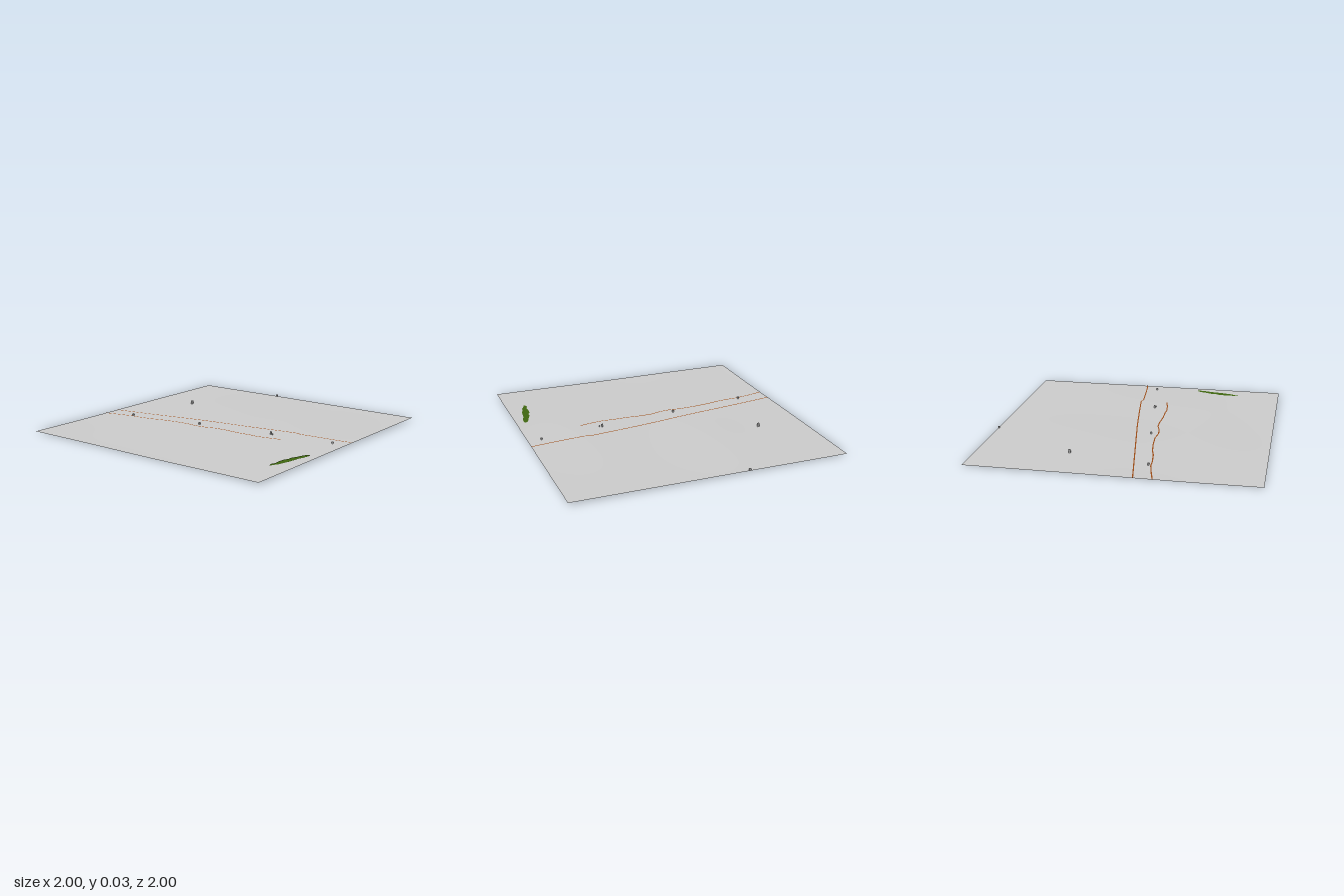
import * as THREE from 'three';

const material = (color) => new THREE.MeshStandardMaterial({ color, side: THREE.DoubleSide });

// Gentle terrain height at any ground position
const hill = (x, z, cx, cz, rx, rz) => Math.exp(-(((x - cx) / rx) ** 2) - ((z - cz) / rz) ** 2);
function groundHeight(x, z) {
  return 0.009 + 0.004 * x - 0.001 * z
    + 0.009 * hill(x, z, -0.25, -0.35, 0.3, 0.4)
    + 0.004 * hill(x, z, 0.55, -0.1, 0.35, 0.5)
    - 0.004 * hill(x, z, 0.1, 0.9, 0.5, 0.3)
    - 0.004 * hill(x, z, -0.9, 0.5, 0.4, 0.5);
}

// Lay a flat geometry on the terrain
function drape(geometry, lift) {
  const p = geometry.attributes.position;
  for (let i = 0; i < p.count; i++) p.setY(i, groundHeight(p.getX(i), p.getZ(i)) + lift);
  geometry.computeVertexNormals();
  return geometry;
}

// Narrow strip following a polyline of [x, z] points
function ribbon(points, width) {
  const positions = [], index = [];
  const samples = [];
  for (let i = 0; i < points.length - 1; i++) {
    const a = new THREE.Vector2(...points[i]), b = new THREE.Vector2(...points[i + 1]);
    const n = Math.max(1, Math.ceil(a.distanceTo(b) / 0.05));
    for (let k = 0; k < n; k++) samples.push(a.clone().lerp(b, k / n));
  }
  samples.push(new THREE.Vector2(...points[points.length - 1]));
  samples.forEach((s, i) => {
    const dir = samples[Math.min(i + 1, samples.length - 1)].clone()
      .sub(samples[Math.max(i - 1, 0)]).normalize().multiplyScalar(width / 2);
    positions.push(s.x + dir.y, 0, s.y - dir.x, s.x - dir.y, 0, s.y + dir.x);
    if (i) {
      const k = 2 * i;
      index.push(k - 2, k - 1, k, k - 1, k + 1, k);
    }
  });
  const g = new THREE.BufferGeometry();
  g.setAttribute('position', new THREE.Float32BufferAttribute(positions, 3));
  g.setIndex(index);
  return drape(g, 0.0015);
}

export function createModel() {
  const model = new THREE.Group();
  const grey = material(0xcccccc), brown = material(0x9a4a14), green = material(0x3f6610);
  const add = (name, geometry, mat) => {
    const mesh = new THREE.Mesh(geometry, mat);
    mesh.name = name;
    model.add(mesh);
    return mesh;
  };

  // Terrain sheet
  add('terrain', drape(new THREE.PlaneGeometry(2, 2, 50, 50).rotateX(-Math.PI / 2), 0), grey);

  // Two brown tracks and a thin grey path
  add('mainTrack', ribbon([[-1, 0.16], [-0.5, 0.08], [0, 0], [0.3, -0.042], [0.56, -0.076],
    [0.6, -0.064], [0.9, -0.09], [1, -0.103]], 0.008), brown);
  add('windingTrack', ribbon([[-1, 0.288], [-0.88, 0.26], [-0.77, 0.238], [-0.7, 0.236], [-0.58, 0.222],
    [-0.5, 0.202], [-0.38, 0.186], [-0.25, 0.177], [-0.16, 0.187], [-0.08, 0.178], [0, 0.156],
    [0.08, 0.153], [0.2, 0.161], [0.32, 0.158], [0.38, 0.163], [0.48, 0.149], [0.57, 0.131]], 0.008), brown);
  add('footpath', ribbon([[-1, 0.315], [-0.75, 0.262], [-0.4, 0.216], [0, 0.198], [0.25, 0.19],
    [0.38, 0.181], [0.6, 0.145], [1, 0.078]], 0.004), grey);

  // Ragged green thicket
  const outline = [[0.937, 0.335], [0.94, 0.37], [0.93, 0.42], [0.92, 0.44], [0.913, 0.5], [0.908, 0.54],
    [0.895, 0.58], [0.888, 0.62], [0.875, 0.64], [0.865, 0.66], [0.858, 0.685], [0.848, 0.67], [0.842, 0.645],
    [0.856, 0.615], [0.85, 0.57], [0.855, 0.52], [0.87, 0.49], [0.868, 0.46], [0.89, 0.41], [0.903, 0.365],
    [0.92, 0.34]];
  const thicket = new THREE.Shape(outline.map(([x, z]) => new THREE.Vector2(x, -z)));
  add('thicket', drape(new THREE.ShapeGeometry(thicket).rotateX(-Math.PI / 2), 0.003), green);

  // Small block buildings: x, z, width, top height
  const blocks = [[-0.65, -0.35, 0.014, 0.034], [-0.255, -0.994, 0.012, 0.024], [-0.17, 0.135, 0.011, 0.027],
    [-0.765, 0.221, 0.01, 0.02], [0.425, 0.057, 0.011, 0.035], [0.444, 0.065, 0.005, 0.024],
    [0.9, -0.004, 0.011, 0.027]];
  for (const [x, z, w, top] of blocks) {
    const base = groundHeight(x, z) - 0.001;
    add('building', new THREE.BoxGeometry(w, top - base, w), grey)
      .position.set(x, (top + base) / 2, z);
  }
  return model;
}
